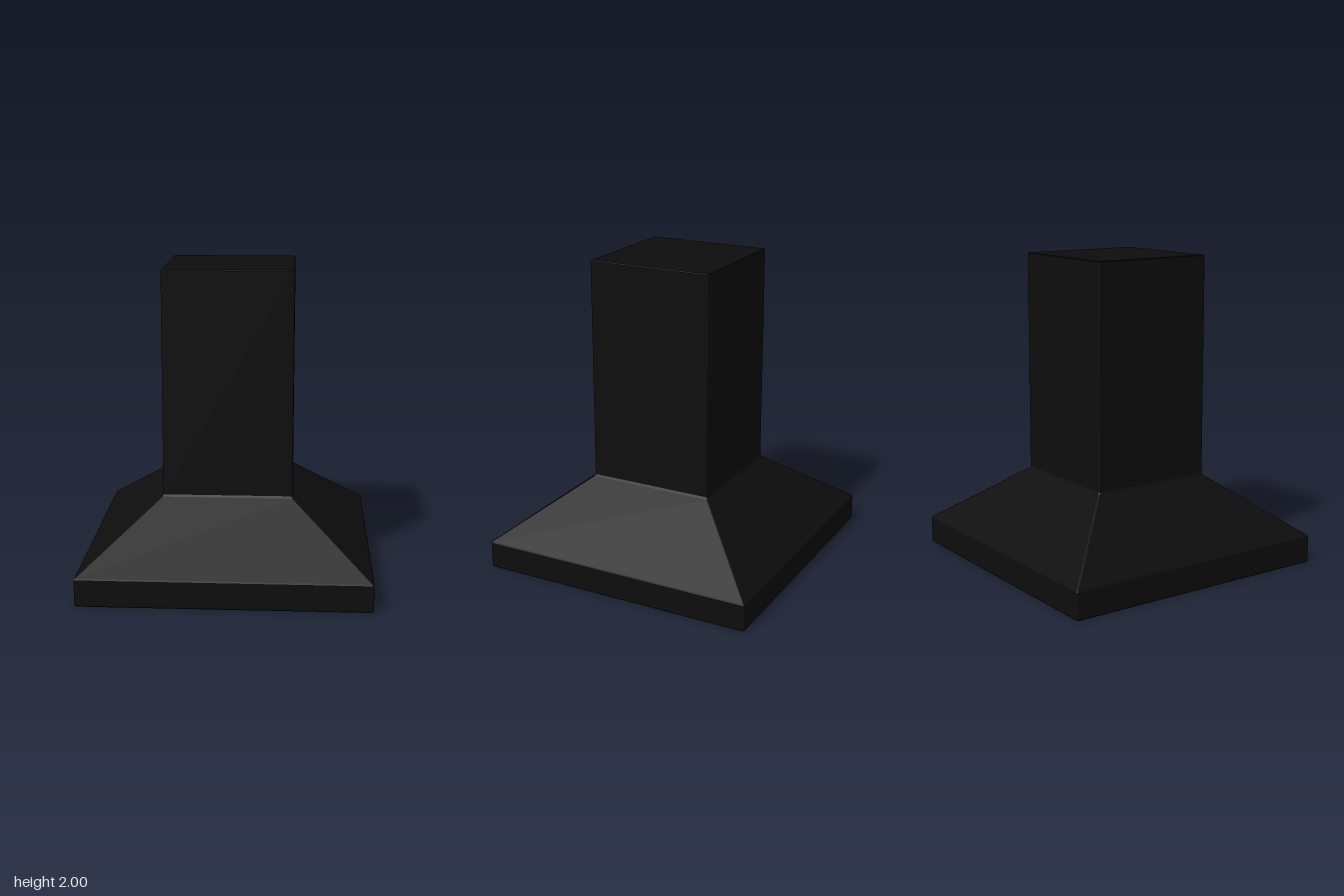
import * as THREE from 'three';

const CORNER_STEPS = 3;

// Square ring of half-width r at height y, with slightly rounded corners
function squareRing(r, y) {
  const round = Math.min(0.01, r * 0.5);
  const ring = [];
  for (let corner = 0; corner < 4; corner++) {
    const mid = Math.PI / 4 + corner * Math.PI / 2;
    const cx = Math.sign(Math.cos(mid)) * (r - round);
    const cz = Math.sign(Math.sin(mid)) * (r - round);
    for (let s = 0; s <= CORNER_STEPS; s++) {
      const a = corner * Math.PI / 2 + (s / CORNER_STEPS) * Math.PI / 2;
      ring.push([cx + round * Math.cos(a), y, cz + round * Math.sin(a)]);
    }
  }
  return ring;
}

// Joins square rings along a [half-width, height] profile; crisp facets
function squareLoft(profile) {
  const rings = profile.map(([r, y]) => squareRing(r, y));
  const n = rings[0].length;
  const positions = [];
  for (let i = 0; i < rings.length - 1; i++) {
    for (let j = 0; j < n; j++) {
      const k = (j + 1) % n;
      const a = rings[i][j], b = rings[i][k];
      const c = rings[i + 1][j], d = rings[i + 1][k];
      if (profile[i][0] > 0) positions.push(...a, ...c, ...b);
      if (profile[i + 1][0] > 0) positions.push(...b, ...c, ...d);
    }
  }
  const geometry = new THREE.BufferGeometry();
  geometry.setAttribute('position', new THREE.Float32BufferAttribute(positions, 3));
  geometry.computeVertexNormals();
  return geometry;
}

export function createModel() {
  const model = new THREE.Group();
  model.name = 'rangeHood';
  const black = new THREE.MeshStandardMaterial({ color: 0x0d0d0d });

  const addPart = (name, profile) => {
    const mesh = new THREE.Mesh(squareLoft(profile), black);
    mesh.name = name;
    model.add(mesh);
  };

  // Canopy: recessed underside, thin rim, upright skirt, sloped roof
  addPart('canopy', [
    [0, 0.12], [0.895, 0.12], [0.895, 0.003], [0.898, 0],
    [0.905, 0], [0.91, 0.005], [0.91, 0.172], [0.906, 0.18],
    [0.418, 0.557], [0.41, 0.57],
  ]);

  // Chimney: straight square duct cover with a softly bevelled closed top
  addPart('chimney', [
    [0.41, 0.57], [0.41, 1.995], [0.405, 2], [0, 2],
  ]);

  return model;
}
